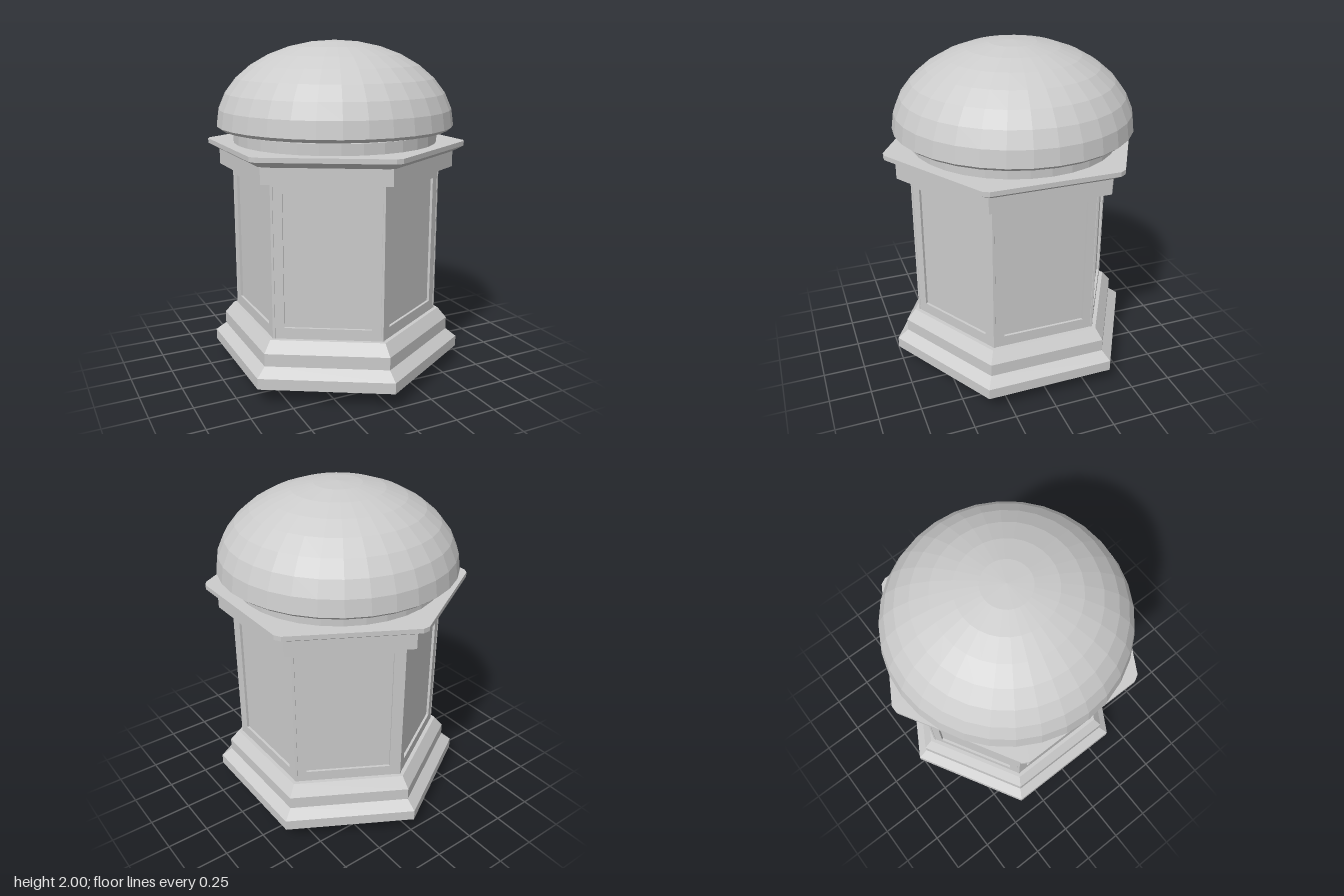
import * as THREE from 'three';

const material = new THREE.MeshStandardMaterial({ color: 0xcccccc, flatShading: true });

function addMesh(parent, name, geometry) {
  const mesh = new THREE.Mesh(geometry, material);
  mesh.name = name;
  parent.add(mesh);
  return mesh;
}

// Turned profile of [radius, y] pairs from bottom to top; six sides give a corner facing +z
function turned(profile, sides) {
  return new THREE.LatheGeometry(profile.map(([r, y]) => new THREE.Vector2(r, y)), sides);
}

// Twelve-sided turning whose points are paired up into a hexagon with clipped corners
function clippedHexagon(profile, clip) {
  const geometry = turned(profile, 12);
  const pos = geometry.attributes.position;
  for (let i = 0; i < pos.count; i++) {
    const k = Math.floor(i / profile.length);
    const angle = Math.floor(k / 2) * Math.PI / 3 + (k % 2 ? clip : -clip);
    const r = Math.hypot(pos.getX(i), pos.getZ(i));
    pos.setXYZ(i, r * Math.sin(angle), pos.getY(i), r * Math.cos(angle));
  }
  geometry.computeVertexNormals();
  return geometry;
}

function rectangle(PathType, halfWidth, y0, y1) {
  return new PathType([
    new THREE.Vector2(-halfWidth, y0), new THREE.Vector2(halfWidth, y0),
    new THREE.Vector2(halfWidth, y1), new THREE.Vector2(-halfWidth, y1),
  ]);
}

export function createModel() {
  const model = new THREE.Group();
  model.name = 'domedPavilion';

  // Stepped plinth with a tapering underside
  addMesh(model, 'plinth', turned([
    [0, 0], [0.465, 0], [0.77, 0.1], [0.77, 0.165], [0.705, 0.215],
    [0.705, 0.29], [0.65, 0.355], [0, 0.355],
  ], 6));

  // Hexagonal core, seen at the back of the recessed panels
  addMesh(model, 'core', turned([[0.606, 0.35], [0.606, 1.27]], 6));

  // Framed wall on each side and a slim post at each corner
  const frame = rectangle(THREE.Shape, 0.3, 0.35, 1.265);
  frame.holes.push(rectangle(THREE.Path, 0.247, 0.42, 1.197));
  const frameGeometry = new THREE.ExtrudeGeometry(frame, { depth: 0.015, bevelEnabled: false });
  frameGeometry.translate(0, 0, 0.525);
  const postGeometry = new THREE.CylinderGeometry(0.013, 0.013, 0.915, 6);
  postGeometry.translate(0, 0.8075, 0.613);
  for (let i = 0; i < 6; i++) {
    const angle = i * Math.PI / 3;
    addMesh(model, 'wallFrame', frameGeometry).rotation.y = angle + Math.PI / 6;
    addMesh(model, 'cornerPost', postGeometry).rotation.y = angle;
  }

  // Lintel and flared cornice
  addMesh(model, 'lintel', turned([[0, 1.26], [0.705, 1.26], [0.705, 1.355], [0, 1.355]], 6));
  addMesh(model, 'cornice', clippedHexagon([
    [0, 1.354], [0.7, 1.354], [0.768, 1.39], [0.768, 1.417], [0, 1.417],
  ], 0.027));

  // Round drum below the dome
  addMesh(model, 'drum', turned([[0.605, 1.41], [0.605, 1.48], [0, 1.48]], 32));

  // Faceted dome with a chamfered rim
  const dome = [[0, 1.495], [0.675, 1.495]];
  for (let i = 0; i <= 8; i++) {
    const a = i / 8 * Math.PI / 2;
    dome.push([i === 8 ? 0 : 0.7 * Math.cos(a), 1.515 + 0.485 * Math.sin(a)]);
  }
  addMesh(model, 'dome', turned(dome, 32));

  return model;
}
